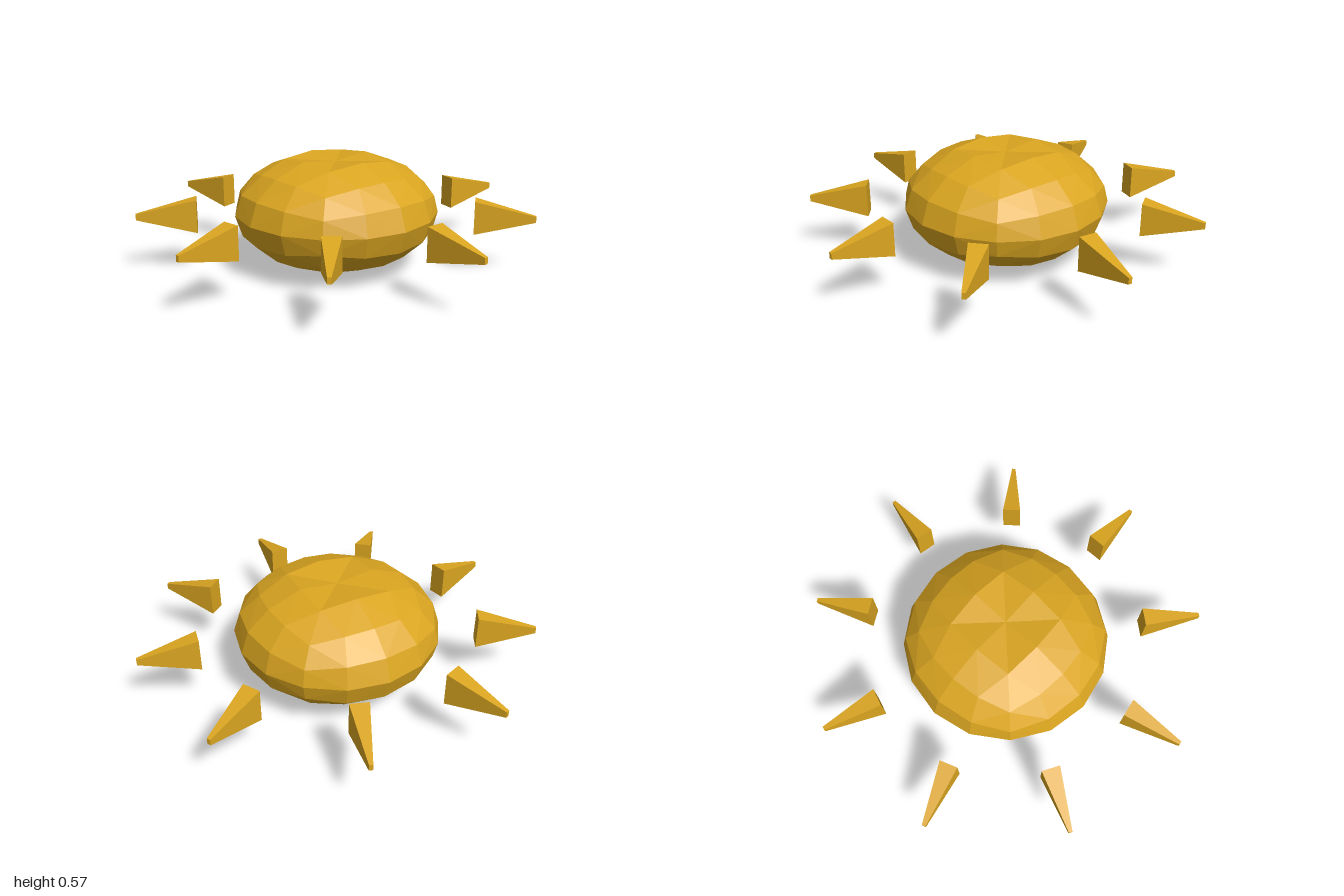
import * as THREE from 'three';

const MID_Y = 0.298;
const MID_Z = -0.026;

// Round body: a 4x4-per-side cube bulged into a flattened ball, with a slightly sunken top
function bodyGeometry() {
  const geo = new THREE.BoxGeometry(2, 2, 2, 4, 4, 4);
  const pos = geo.attributes.position;
  const v = new THREE.Vector3();
  const bulge = (t) => Math.tan((t * Math.PI) / 4);
  for (let i = 0; i < pos.count; i++) {
    v.fromBufferAttribute(pos, i);
    const isTopCentre = v.y > 0.99 && Math.hypot(v.x, v.z) < 0.01;
    v.set(bulge(v.x), bulge(v.y), bulge(v.z)).normalize();
    v.multiply(new THREE.Vector3(0.525, 0.298, 0.525));
    if (isTopCentre) v.y = 0.252;
    pos.setXYZ(i, v.x, v.y, v.z);
  }
  // Turn the quad diagonals so they radiate from the middle of each side
  const idx = geo.index.array;
  for (let q = 0; q < idx.length / 6; q++) {
    const col = q % 4;
    const row = Math.floor(q / 4) % 4;
    if ((col < 2) === (row < 2)) {
      const [a, b, d, , c] = idx.slice(q * 6, q * 6 + 6);
      idx.set([a, b, c, a, c, d], q * 6);
    }
  }
  geo.computeVertexNormals();
  return geo;
}

// Ray: a tall box narrowing to a small blunt tip, pointing along +z
function rayGeometry(inner, outer) {
  const geo = new THREE.BoxGeometry(0.092, 0.17, outer - inner);
  geo.translate(0, 0, (inner + outer) / 2);
  const pos = geo.attributes.position;
  for (let i = 0; i < pos.count; i++) {
    if (pos.getZ(i) > (inner + outer) / 2) {
      pos.setX(i, pos.getX(i) * 0.2);
      pos.setY(i, pos.getY(i) * 0.18);
    }
  }
  geo.computeVertexNormals();
  return geo;
}

export function createModel() {
  const gold = new THREE.MeshStandardMaterial({ color: 0xdaa520, flatShading: true });
  gold.name = 'gold';

  const sun = new THREE.Group();
  sun.name = 'sun';
  sun.position.set(0.003, MID_Y, MID_Z);

  const body = new THREE.Mesh(bodyGeometry(), gold);
  body.name = 'body';
  sun.add(body);

  // Nine evenly spaced rays around the body
  const rays = new THREE.Group();
  rays.name = 'rays';
  const geo = rayGeometry(0.71, 1.011);
  for (let i = 0; i < 9; i++) {
    const ray = new THREE.Mesh(geo, gold);
    ray.name = `ray${i + 1}`;
    ray.rotation.y = (i * 2 * Math.PI) / 9;
    rays.add(ray);
  }
  sun.add(rays);

  const model = new THREE.Group();
  model.name = 'model';
  model.add(sun);
  return model;
}
